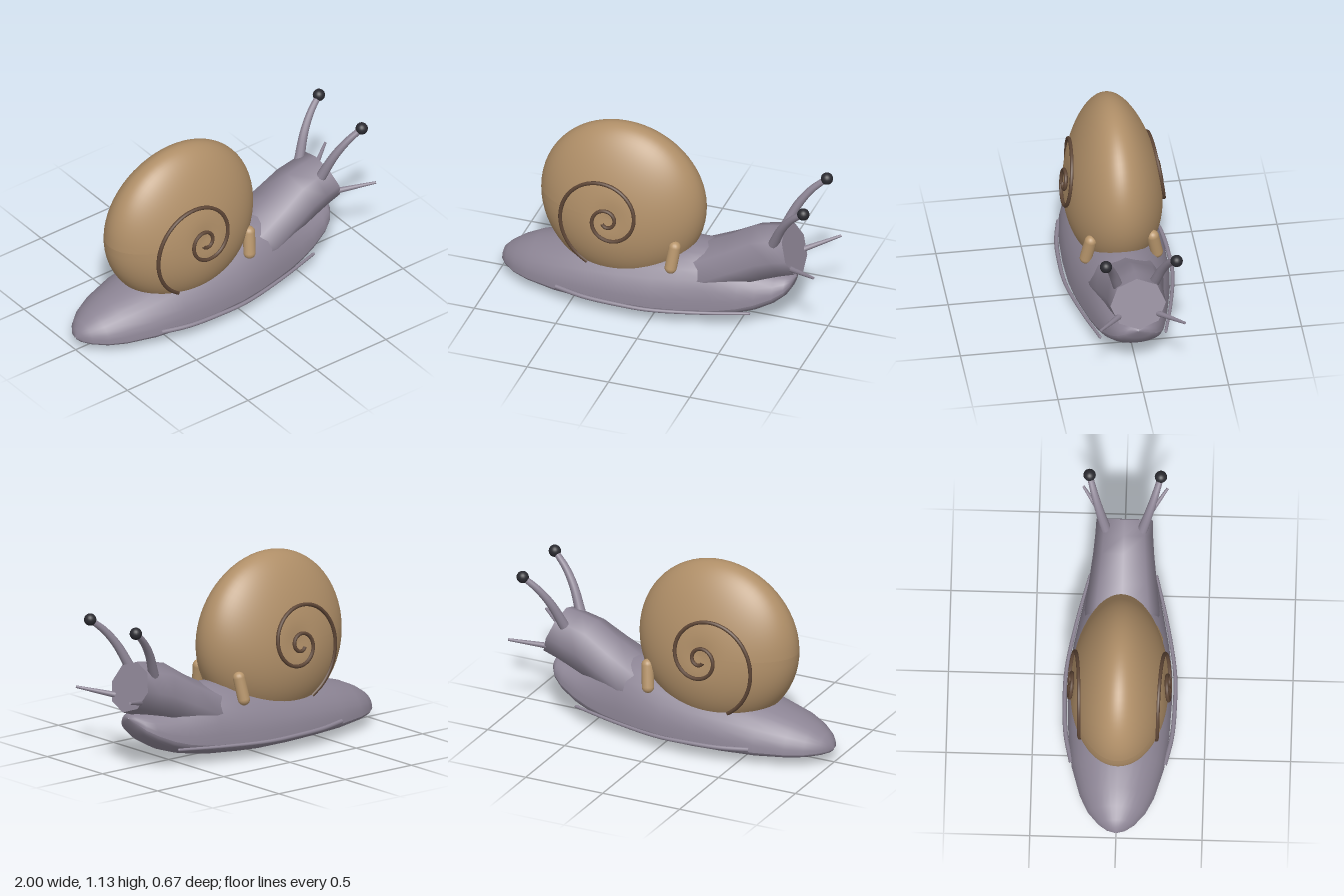
import * as THREE from 'three';

const mat = (name, color) => Object.assign(new THREE.MeshStandardMaterial({ color }), { name });

// Skin through rings of points; each ring runs from +z over +y to -z
function loft(rings, closed) {
  const n = rings[0].length, pos = rings.flat(2), idx = [];
  for (let i = 0; i < rings.length - 1; i++) {
    for (let j = 0; j < (closed ? n : n - 1); j++) {
      const a = i * n + j, b = i * n + (j + 1) % n;
      idx.push(a, a + n, b, b, a + n, b + n);
    }
  }
  const g = new THREE.BufferGeometry();
  g.setAttribute('position', new THREE.Float32BufferAttribute(pos, 3));
  g.setIndex(idx);
  g.computeVertexNormals();
  return g;
}

// Tube along a smooth path whose radius runs from r0 to r1
function taperedTube(points, r0, r1, steps, sides) {
  const curve = new THREE.CatmullRomCurve3(points.map(p => new THREE.Vector3(...p)));
  const g = new THREE.TubeGeometry(curve, steps, r0, sides);
  const p = g.attributes.position, v = new THREE.Vector3();
  for (let i = 0; i < p.count; i++) {
    const t = Math.floor(i / (sides + 1)) / steps, c = curve.getPointAt(t);
    v.fromBufferAttribute(p, i).sub(c).multiplyScalar(1 + (r1 / r0 - 1) * t).add(c);
    p.setXYZ(i, v.x, v.y, v.z);
  }
  return g;
}

const SX = -0.255, SY = 0.63, SR = 0.5;
// Half thickness of the shell: fuller towards the bottom, dimpled at the middle
function shellDepth(x, y) {
  const r = Math.hypot(x - SX, y - SY);
  const dome = 0.28 * Math.sqrt(Math.max(0, 1 - (r / SR) ** 2));
  return dome * (1 - 0.22 * (y - SY) / SR) - 0.015 * Math.exp(-((r / 0.09) ** 2));
}

export function createModel() {
  const model = new THREE.Group();
  const skin = mat('skin', 0x8c8494), shellTan = mat('shellTan', 0xb08f68);
  const lipTan = mat('lipTan', 0xb8966c), brown = mat('spiralBrown', 0x5e4636), dark = mat('eyeDark', 0x2a2a30);
  const add = (name, geo, material, pos) => {
    const m = new THREE.Mesh(geo, material);
    m.name = name;
    if (pos) m.position.set(...pos);
    model.add(m);
    return m;
  };

  // Foot stations: x, underside, widest height, top, half width
  const stations = [
    [-1, 0.08, 0.085, 0.09, 0.004], [-0.985, 0.066, 0.085, 0.135, 0.055], [-0.95, 0.055, 0.085, 0.17, 0.105],
    [-0.88, 0.043, 0.083, 0.215, 0.165], [-0.78, 0.033, 0.083, 0.26, 0.215], [-0.6, 0.02, 0.085, 0.31, 0.268],
    [-0.4, 0.009, 0.09, 0.35, 0.293], [-0.2, 0.002, 0.09, 0.375, 0.302], [0, 0, 0.092, 0.4, 0.297],
    [0.15, 0.006, 0.097, 0.42, 0.278], [0.3, 0.017, 0.104, 0.43, 0.248], [0.4, 0.03, 0.112, 0.4, 0.227],
    [0.5, 0.05, 0.13, 0.365, 0.205], [0.6, 0.083, 0.16, 0.34, 0.18], [0.7, 0.138, 0.205, 0.33, 0.15],
    [0.76, 0.19, 0.24, 0.325, 0.115], [0.79, 0.238, 0.27, 0.318, 0.075], [0.805, 0.295, 0.297, 0.3, 0.004],
  ];
  const half = dir => stations.map(([x, yb, ym, yt, w]) => Array.from({ length: 17 }, (_, j) => {
    const a = Math.PI * j / 16, s = Math.sin(a), c = Math.cos(a) * dir;
    return [x, dir > 0 ? ym + (yt - ym) * s : ym - (ym - yb) * s, w * c];
  }));
  add('footTop', loft(half(1)), skin);
  add('footSole', loft(half(-1)), skin);

  // Eight-sided neck: centre x, centre y, tilt, half height, half width
  const neck = [[0.12, 0.25, 0.45, 0.1, 0.2], [0.3, 0.285, 0.47, 0.145, 0.218], [0.45, 0.357, 0.44, 0.15, 0.197],
    [0.6, 0.43, 0.37, 0.17, 0.177], [0.7, 0.462, 0.36, 0.162, 0.168], [0.793, 0.485, 0.36, 0.153, 0.163]];
  const rings = neck.map(([x, y, t, h, w]) => Array.from({ length: 8 }, (_, j) => {
    const a = Math.PI * j / 4, s = h * Math.sin(a);
    return [x - s * Math.sin(t), y + s * Math.cos(t), w * Math.cos(a)];
  }));
  add('neck', loft(rings, true), skin);
  const centre = Array(8).fill([0.793, 0.485, 0]);
  add('face', loft([rings[5], centre], true), skin);

  // Shell: sphere reshaped by the depth rule
  const shell = new THREE.SphereGeometry(1, 64, 48).rotateX(Math.PI / 2);
  const p = shell.attributes.position;
  for (let i = 0; i < p.count; i++) {
    const x = SX + p.getX(i) * SR, y = SY + p.getY(i) * SR, z = p.getZ(i);
    p.setXYZ(i, x, y, Math.abs(z) < 1e-6 ? 0 : Math.sign(z) * shellDepth(x, y));
  }
  shell.computeVertexNormals();
  add('shell', shell, shellTan);

  for (const s of [1, -1]) {
    const side = s > 0 ? 'right' : 'left';

    // Spiral ridge shrinking towards the middle of the shell side
    const spiral = [];
    for (let i = 0; i <= 60; i++) {
      const t = i / 60, a = (247 - 757 * t) * Math.PI / 180, r = 0.374 * Math.exp(-2.57 * t);
      const x = -0.265 + r * Math.cos(a), y = 0.615 + r * Math.sin(a);
      spiral.push([x, y, s * (shellDepth(x, y) + 0.004 + 0.012 * t)]);
    }
    add(side + 'ShellSpiral', taperedTube(spiral, 0.012, 0.011, 220, 8), brown);

    // Lip of the shell opening
    const lip = add(side + 'ShellLip', new THREE.CapsuleGeometry(0.036, 0.13, 8, 16), lipTan, [0.113, 0.4, s * 0.195]);
    lip.rotation.set(-s * 0.2, 0, -0.12);

    // Rim along the edge of the foot
    const rim = [[-0.58, 0.1, 0.27], [-0.4, 0.093, 0.308], [-0.2, 0.09, 0.32], [0, 0.088, 0.315],
      [0.3, 0.097, 0.262], [0.58, 0.11, 0.193]].map(([x, y, z]) => [x, y, z * s]);
    add(side + 'FootRim', taperedTube(rim, 0.014, 0.009, 40, 8), skin);
    add(side + 'FootRimTip', new THREE.SphereGeometry(0.009, 8, 6), skin, rim[5]);

    // Eye stalk and eye
    const stalk = [[0.7, 0.56, 0.105], [0.765, 0.7, 0.145], [0.835, 0.795, 0.177], [0.92, 0.87, 0.207]]
      .map(([x, y, z]) => [x, y, z * s]);
    add(side + 'EyeStalk', taperedTube(stalk, 0.031, 0.018, 16, 12), skin);
    add(side + 'Eye', new THREE.SphereGeometry(0.036, 20, 14), dark, stalk[3]);

    // Lower feeler
    const a = new THREE.Vector3(0.78, 0.41, s * 0.095), b = new THREE.Vector3(0.995, 0.472, s * 0.245);
    const dir = b.clone().sub(a);
    const feeler = add(side + 'Feeler', new THREE.CylinderGeometry(0.008, 0.019, dir.length(), 10), skin);
    feeler.position.copy(a).add(b).multiplyScalar(0.5);
    feeler.quaternion.setFromUnitVectors(new THREE.Vector3(0, 1, 0), dir.normalize());
  }
  return model;
}
